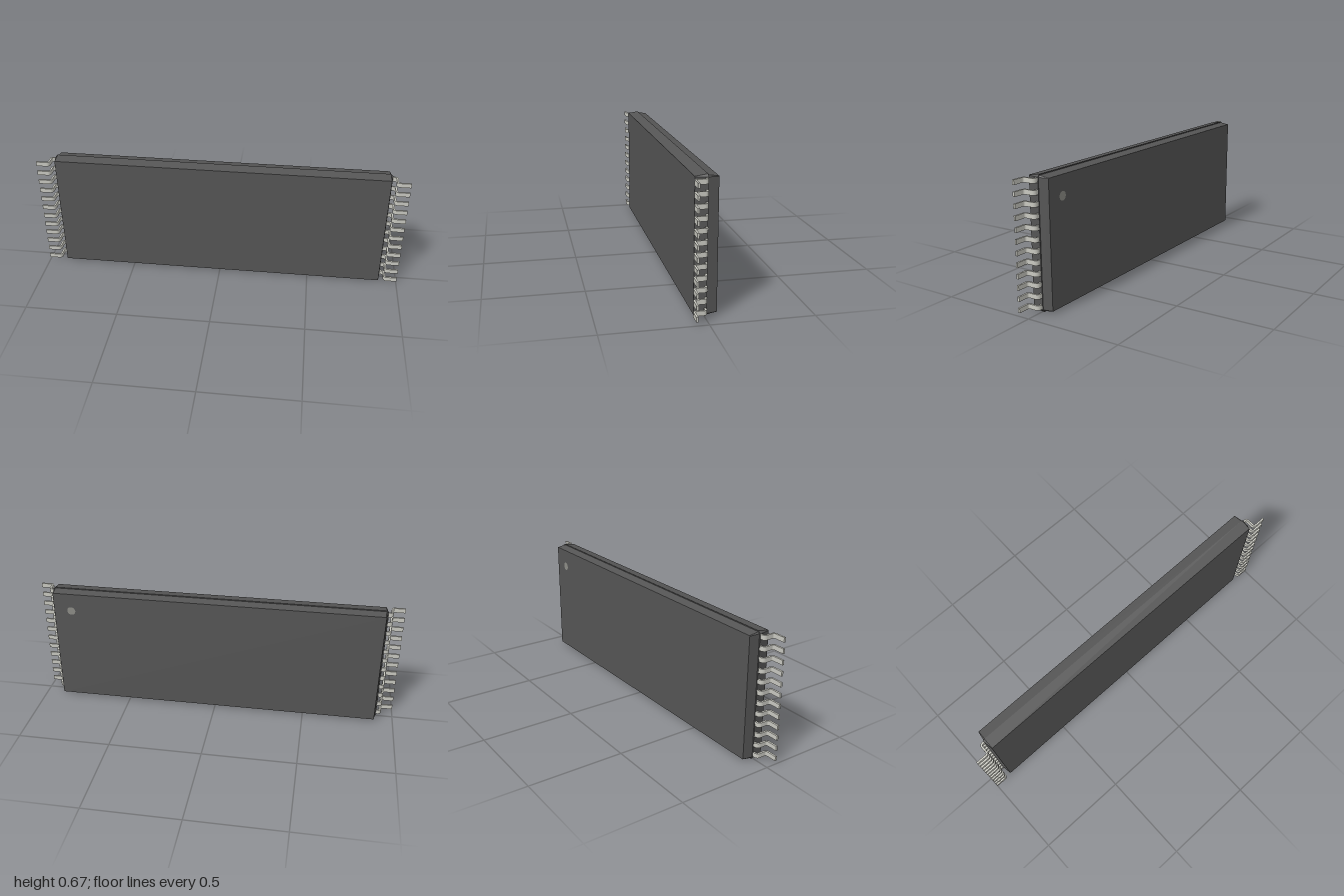
import * as THREE from 'three';

const MID_Y = 0.333;
const bodyMat = new THREE.MeshStandardMaterial({ color: 0x555555, flatShading: true });
const metalMat = new THREE.MeshStandardMaterial({ color: 0xc8c8c0, flatShading: true });
const markMat = new THREE.MeshStandardMaterial({ color: 0x8c8c86 });

// Rectangle with clipped corners, counter-clockwise seen from +z
function ring({ w, h, c, z }) {
  return [
    [w - c, -h], [w, -h + c], [w, h - c], [w - c, h],
    [-w + c, h], [-w, h - c], [-w, -h + c], [-w + c, -h],
  ].map(([x, y]) => [x, y + MID_Y, z]);
}

// Closed tapered slab between a back ring and a front ring
function taperedSlab(name, back, front) {
  const a = ring(back), b = ring(front), n = a.length, pos = [];
  const tri = (p, q, r) => pos.push(...p, ...q, ...r);
  for (let i = 0; i < n; i++) {
    const j = (i + 1) % n;
    tri(a[i], a[j], b[j]);
    tri(a[i], b[j], b[i]);
    if (i > 0 && i < n - 1) {
      tri(b[0], b[i], b[j]);
      tri(a[0], a[j], a[i]);
    }
  }
  const geo = new THREE.BufferGeometry();
  geo.setAttribute('position', new THREE.Float32BufferAttribute(pos, 3));
  geo.computeVertexNormals();
  const mesh = new THREE.Mesh(geo, bodyMat);
  mesh.name = name;
  return mesh;
}

// Gull-wing pin: an S-bent strip profile in x/z, extruded along y
function pinGeometry() {
  const t = 0.005, r = 0.013, width = 0.024;
  const riser = 0.931, top = -0.003, foot = 0.056;
  const s = new THREE.Shape();
  s.moveTo(0.89, top - t);
  s.lineTo(riser - r, top - t);
  s.absarc(riser - r, top + r, r + t, -Math.PI / 2, 0, false);
  s.lineTo(riser + t, foot - r);
  s.absarc(riser + r, foot - r, r - t, Math.PI, Math.PI / 2, true);
  s.lineTo(1, foot - t);
  s.lineTo(1, foot + t);
  s.lineTo(riser + r, foot + t);
  s.absarc(riser + r, foot - r, r + t, Math.PI / 2, Math.PI, false);
  s.lineTo(riser - t, top + r);
  s.absarc(riser - r, top + r, r - t, 0, -Math.PI / 2, true);
  s.lineTo(0.89, top + t);
  s.closePath();
  const geo = new THREE.ExtrudeGeometry(s, { depth: width, bevelEnabled: false, curveSegments: 6 });
  geo.translate(0, 0, -width / 2);
  return geo.rotateX(Math.PI / 2);
}

export function createModel() {
  const model = new THREE.Group();
  model.name = 'chipPackage';

  // Two moulded halves meeting at a slightly stepped parting line
  model.add(
    taperedSlab('frontHalf',
      { w: 0.91, h: 0.333, c: 0.012, z: -0.01 },
      { w: 0.9, h: 0.324, c: 0.002, z: 0.05 }),
    taperedSlab('backHalf',
      { w: 0.905, h: 0.328, c: 0.008, z: -0.01 },
      { w: 0.897, h: 0.32, c: 0.002, z: -0.061 }).translateZ(0),
  );
  // The back half is lofted from front to back, so flip its winding
  const back = model.getObjectByName('backHalf').geometry;
  const p = back.attributes.position;
  const u = new THREE.Vector3(), v = new THREE.Vector3();
  for (let i = 0; i < p.count; i += 3) {
    u.fromBufferAttribute(p, i + 1);
    v.fromBufferAttribute(p, i + 2);
    p.setXYZ(i + 1, v.x, v.y, v.z);
    p.setXYZ(i + 2, u.x, u.y, u.z);
  }
  back.computeVertexNormals();

  // Round orientation mark on the back face
  const mark = new THREE.Mesh(new THREE.CircleGeometry(0.023, 24), markMat);
  mark.name = 'orientationMark';
  mark.rotation.y = Math.PI;
  mark.position.set(0.8, 0.552, -0.0615);
  model.add(mark);

  // Twelve pins along each short side
  const geo = pinGeometry();
  for (const side of ['left', 'right']) {
    const row = new THREE.Group();
    row.name = side + 'Pins';
    for (let i = 0; i < 12; i++) {
      const pin = new THREE.Mesh(geo, metalMat);
      pin.name = 'pin';
      pin.position.y = 0.029 + i * 0.0556;
      if (side === 'right') pin.rotation.z = Math.PI;
      row.add(pin);
    }
    model.add(row);
  }
  return model;
}
